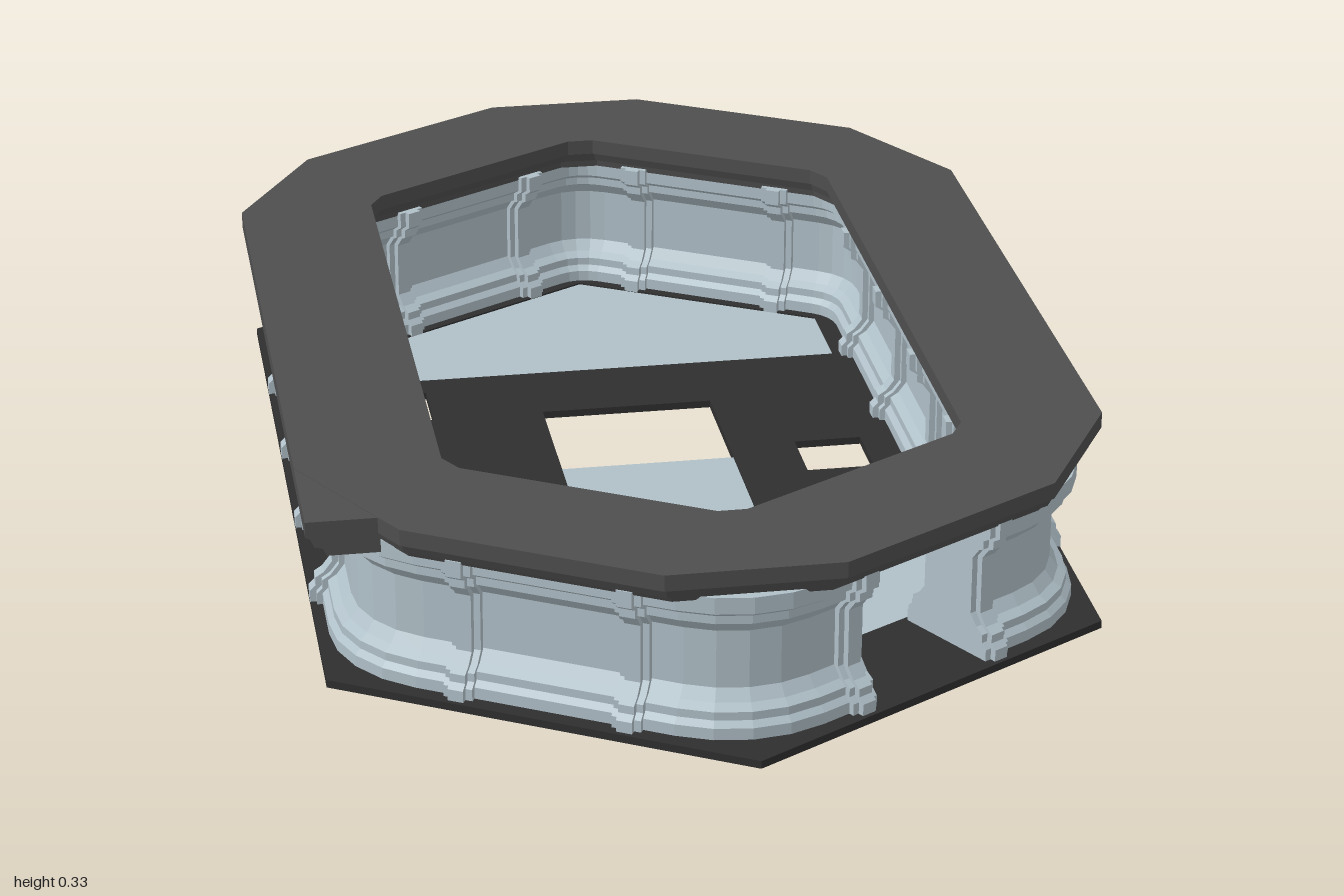
import * as THREE from 'three';

const material = (color) => new THREE.MeshStandardMaterial({ color, flatShading: true, side: THREE.DoubleSide });
const topMat = material(0x4e4e4e);
const floorMat = material(0x2e2e2e);
const wallMat = material(0xb0c0c8);
const doorMat = material(0x8c8783);

// Corner centres of the long hexagonal ring; everything is offset outward from them by r
const centres = [[0.577, -0.4], [0.808, 0], [0.577, 0.4], [-0.577, 0.4], [-0.808, 0], [-0.577, -0.4]];
const sides = centres.map((a, i) => {
  const b = centres[(i + 1) % 6];
  const length = Math.hypot(b[0] - a[0], b[1] - a[1]);
  const d = [(b[0] - a[0]) / length, (b[1] - a[1]) / length];
  return { a, d, length, angle: Math.atan2(-d[0], d[1]) };
});

// A station is a place on the ring: centre point and outward direction
const station = (x, z, angle) => ({ x, z, nx: Math.cos(angle), nz: Math.sin(angle) });
const onSide = (s, t) => station(s.a[0] + s.d[0] * t, s.a[1] + s.d[1] * t, s.angle);
function corner(i, steps) {
  const s = sides[i], next = sides[(i + 1) % 6], c = next.a, out = [];
  let turn = next.angle - s.angle;
  if (turn < 0) turn += Math.PI * 2;
  for (let k = 0; k <= steps; k++) out.push(station(c[0], c[1], s.angle + turn * k / steps));
  return out;
}

// Sweep a closed [r, y] profile along stations, with caps when open
function sweep(profile, stations, closed = false) {
  const pos = [];
  const put = (s, p) => pos.push(s.x + s.nx * p[0], p[1], s.z + s.nz * p[0]);
  const n = profile.length, m = stations.length;
  for (let i = 0; i < (closed ? m : m - 1); i++) {
    const s = stations[i], e = stations[(i + 1) % m];
    for (let j = 0; j < n; j++) {
      const p = profile[j], q = profile[(j + 1) % n];
      put(s, p); put(s, q); put(e, q);
      put(s, p); put(e, q); put(e, p);
    }
  }
  if (!closed) {
    const pts = profile.map((p) => new THREE.Vector2(p[0], p[1]));
    for (const [a, b, c] of THREE.ShapeUtils.triangulateShape(pts, [])) {
      const first = stations[0], last = stations[m - 1];
      put(first, profile[a]); put(first, profile[c]); put(first, profile[b]);
      put(last, profile[a]); put(last, profile[b]); put(last, profile[c]);
    }
  }
  const g = new THREE.BufferGeometry();
  g.setAttribute('position', new THREE.Float32BufferAttribute(pos, 3));
  g.computeVertexNormals();
  return g;
}

// Flat plate from an outline and holes, lying between y0 and y1
function plate(outline, holes, y0, y1) {
  const toVec = (list) => list.map((p) => new THREE.Vector2(p[0], p[1]));
  const shape = new THREE.Shape(toVec(outline));
  holes.forEach((h) => shape.holes.push(new THREE.Path(toVec(h))));
  const g = new THREE.ExtrudeGeometry(shape, { depth: y1 - y0, bevelEnabled: false });
  return g.rotateX(Math.PI / 2).translate(0, y1, 0);
}
const rect = (cx, cz, hx, hz) => [[cx - hx, cz - hz], [cx + hx, cz - hz], [cx + hx, cz + hz], [cx - hx, cz + hz]];

// Wall profile: moulded outer face mirrored to the inner face, grown by g for the ribs
const face = [[0.25, 0.012], [0.25, 0.035], [0.24, 0.045], [0.24, 0.06], [0.225, 0.07], [0.21, 0.09],
  [0.21, 0.195], [0.225, 0.215], [0.235, 0.22], [0.235, 0.235], [0.25, 0.245], [0.25, 0.275]];
function wallProfile(g) {
  const outer = face.map(([r, y]) => [r + g, y]);
  const inner = face.map(([r, y]) => [0.325 - r - g, y]).reverse();
  return [...outer, ...inner];
}

export function createModel() {
  const root = new THREE.Group();
  root.name = 'ringCounter';
  const ring = new THREE.Group();
  ring.name = 'turnedRing';
  ring.rotation.y = Math.PI / 3;
  ring.position.x = 0.02;
  root.add(ring);
  const add = (name, geometry, mat) => {
    const mesh = new THREE.Mesh(geometry, mat);
    mesh.name = name;
    ring.add(mesh);
  };

  // Floor with openings and pale panels set into it
  const endPanel = (s) => [[s * 0.44, -0.44], [s * 0.62, -0.44], [s * 0.87, 0], [s * 0.62, 0.44], [s * 0.44, 0.44]];
  const floorOutline = [[0.743, -0.67], [1.13, 0], [0.743, 0.67], [-0.743, 0.67], [-1.13, 0], [-0.743, -0.67]];
  add('floor', plate(floorOutline, [endPanel(1), endPanel(-1), rect(0, 0, 0.26, 0.162),
    rect(-0.01, 0.35, 0.063, 0.063), rect(0.32, -0.435, 0.063, 0.063)], 0, 0.014), floorMat);
  for (const s of [1, -1]) add('floorEndPanel', plate(endPanel(s), [], 0.003, 0.011), wallMat);
  add('floorCentrePanel', plate(rect(-0.125, 0, 0.135, 0.162), [], 0.003, 0.011), wallMat);

  // Counter top with stepped, undercut edges
  const topProfile = [[0.075, 0.268], [0.265, 0.268], [0.272, 0.282], [0.285, 0.284], [0.292, 0.3],
    [0.3, 0.303], [0.3, 0.332], [0.05, 0.332], [0.05, 0.303], [0.058, 0.3], [0.064, 0.284], [0.073, 0.282]];
  add('counterTop', sweep(topProfile, sides.flatMap((_, i) => corner(i, 1)), true), topMat);

  // Straight end of the counter that runs past its corner
  const spur = [[0.176, 0.268], ...topProfile.slice(1, 6), [0.3, 0.331], [0.176, 0.331]];
  add('counterSpur', sweep(spur, [onSide(sides[5], -0.208), onSide(sides[5], 0.02)]), topMat);

  // Walls: panels between ribs, bent panels round the corners, two walk-through gaps
  const panelProfile = wallProfile(0);
  const ribTiers = [[0.026, 0.01], [0.014, 0.021]];
  const ribSpots = (s) => (s.length > 1 ? [-0.44, -0.147, 0.147, 0.44] : [-0.15, 0.15]).map((t) => t + s.length / 2);
  const gaps = ['3-0', '5-0'];
  sides.forEach((s, i) => {
    const spots = ribSpots(s);
    spots.forEach((t, k) => {
      for (const [half, grow] of ribTiers) {
        add('wallRib', sweep(wallProfile(grow), [onSide(s, t - half), onSide(s, t + half)]), wallMat);
      }
      if (k + 1 === spots.length || gaps.includes(`${i}-${k}`)) return;
      const isDoor = i === 5 && k === 2;
      add(isDoor ? 'wallDoor' : 'wallPanel', sweep(panelProfile, [onSide(s, t), onSide(s, spots[k + 1])]), wallMat);
      if (isDoor) {
        const leaf = [[0.109, 0.092], [0.216, 0.092], [0.216, 0.193], [0.109, 0.193]];
        add('doorLeaf', sweep(leaf, [onSide(s, t + 0.03), onSide(s, spots[k + 1] - 0.03)]), doorMat);
      }
    });
    const next = sides[(i + 1) % 6];
    const bend = [onSide(s, spots[spots.length - 1]), ...corner(i, 4), onSide(next, ribSpots(next)[0])];
    add('cornerPanel', sweep(panelProfile, bend), wallMat);
  });
  return root;
}
